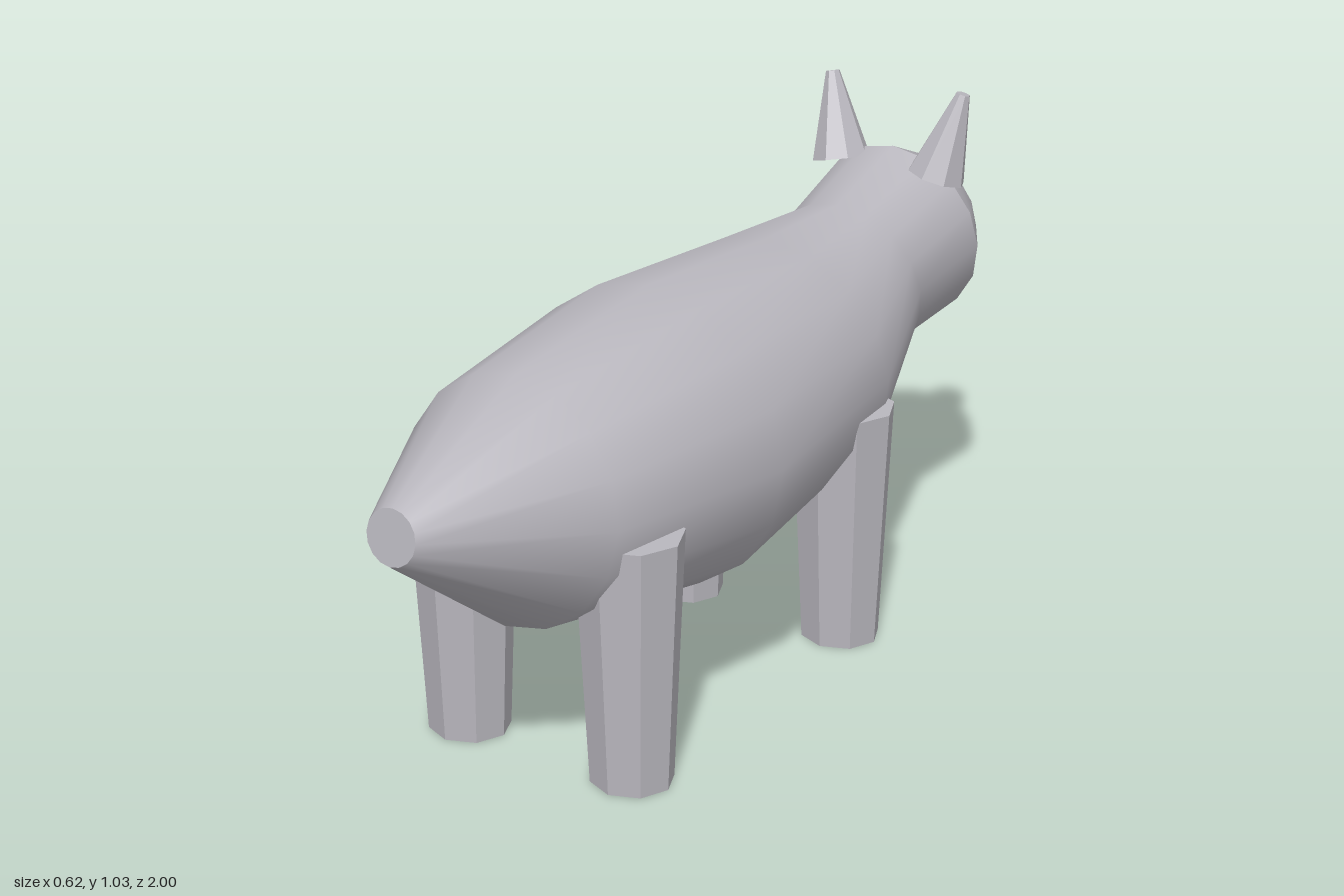
import * as THREE from 'three';

const hide = new THREE.MeshStandardMaterial({ color: 0xb9b7be });
hide.name = 'grey hide';
const noseBlue = new THREE.MeshStandardMaterial({ color: 0x8494ae });
noseBlue.name = 'blue grey nose';

const SIDES = 16;

// Smooth skin over tilted elliptical rings, each [topZ, topY, bottomZ, bottomY, halfWidth],
// listed from +z to -z, with an optional flat cap on either end
function loft(rings, capStart, capEnd) {
  const positions = [], index = [];
  const addRing = ([tz, ty, bz, by, w]) => {
    const start = positions.length / 3;
    for (let j = 0; j < SIDES; j++) {
      const a = (j / SIDES) * Math.PI * 2, t = (1 - Math.cos(a)) / 2;
      positions.push(w * Math.sin(a), ty + (by - ty) * t, tz + (bz - tz) * t);
    }
    return start;
  };
  const starts = rings.map(addRing);
  for (let i = 0; i < rings.length - 1; i++) {
    for (let j = 0; j < SIDES; j++) {
      const k = (j + 1) % SIDES, p = starts[i], q = starts[i + 1];
      index.push(p + j, p + k, q + j, p + k, q + k, q + j);
    }
  }
  const addCap = (ring, front) => {
    const s = addRing(ring);
    for (let j = 1; j < SIDES - 1; j++) {
      if (front) index.push(s, s + j + 1, s + j);
      else index.push(s, s + j, s + j + 1);
    }
  };
  if (capStart) addCap(rings[0], true);
  if (capEnd) addCap(rings[rings.length - 1], false);
  const geometry = new THREE.BufferGeometry();
  geometry.setAttribute('position', new THREE.Float32BufferAttribute(positions, 3));
  geometry.setIndex(index);
  geometry.computeVertexNormals();
  return geometry;
}

// Faceted, tapered eight-sided post
function facetedPost(topRadius, bottomRadius, height) {
  const geometry = new THREE.CylinderGeometry(topRadius, bottomRadius, height, 8).toNonIndexed();
  geometry.computeVertexNormals();
  return geometry;
}

export function createModel() {
  const model = new THREE.Group();
  model.name = 'animal';
  const add = (name, geometry, material) => {
    const mesh = new THREE.Mesh(geometry, material);
    mesh.name = name;
    model.add(mesh);
    return mesh;
  };

  // Body from the blunt rump through the neck to the back of the face
  const faceRing = [-0.70, 0.89, -0.76, 0.50, 0.196];
  add('body', loft([
    [0.985, 0.672, 1.0, 0.565, 0.055],
    [0.63, 0.805, 0.68, 0.32, 0.245],
    [0.21, 0.85, 0.21, 0.23, 0.31],
    [-0.20, 0.825, -0.28, 0.30, 0.272],
    [-0.48, 0.82, -0.58, 0.48, 0.175],
    faceRing,
  ], true, false), hide);

  // Face tapering to a flat muzzle
  add('face', loft([
    faceRing,
    [-0.81, 0.845, -0.835, 0.56, 0.14],
    [-0.90, 0.76, -0.90, 0.625, 0.066],
  ], false, true), hide);

  const nose = add('nose', new THREE.SphereGeometry(1, 20, 14), noseBlue);
  nose.scale.set(0.046, 0.042, 0.05);
  nose.position.set(0, 0.677, -0.948);

  const legGeometry = facetedPost(0.107, 0.083, 0.51);
  const earGeometry = facetedPost(0.015, 0.063, 0.187);
  const up = new THREE.Vector3(0, 1, 0);
  for (const side of [1, -1]) {
    const sideName = side > 0 ? 'left' : 'right';

    // Legs
    for (const [part, z] of [['HeadEndLeg', -0.197], ['RumpEndLeg', 0.55]]) {
      const leg = add(sideName + part, legGeometry, hide);
      leg.position.set(side * 0.194, 0.255, z);
      leg.scale.z = 0.95;
    }

    // Ears leaning outwards
    const base = new THREE.Vector3(side * 0.117, 0.848, -0.682);
    const tip = new THREE.Vector3(side * 0.16, 1.028, -0.711);
    const ear = add(sideName + 'Ear', earGeometry, hide);
    ear.position.copy(base).add(tip).multiplyScalar(0.5);
    ear.quaternion.setFromUnitVectors(up, tip.clone().sub(base).normalize());
  }
  return model;
}
